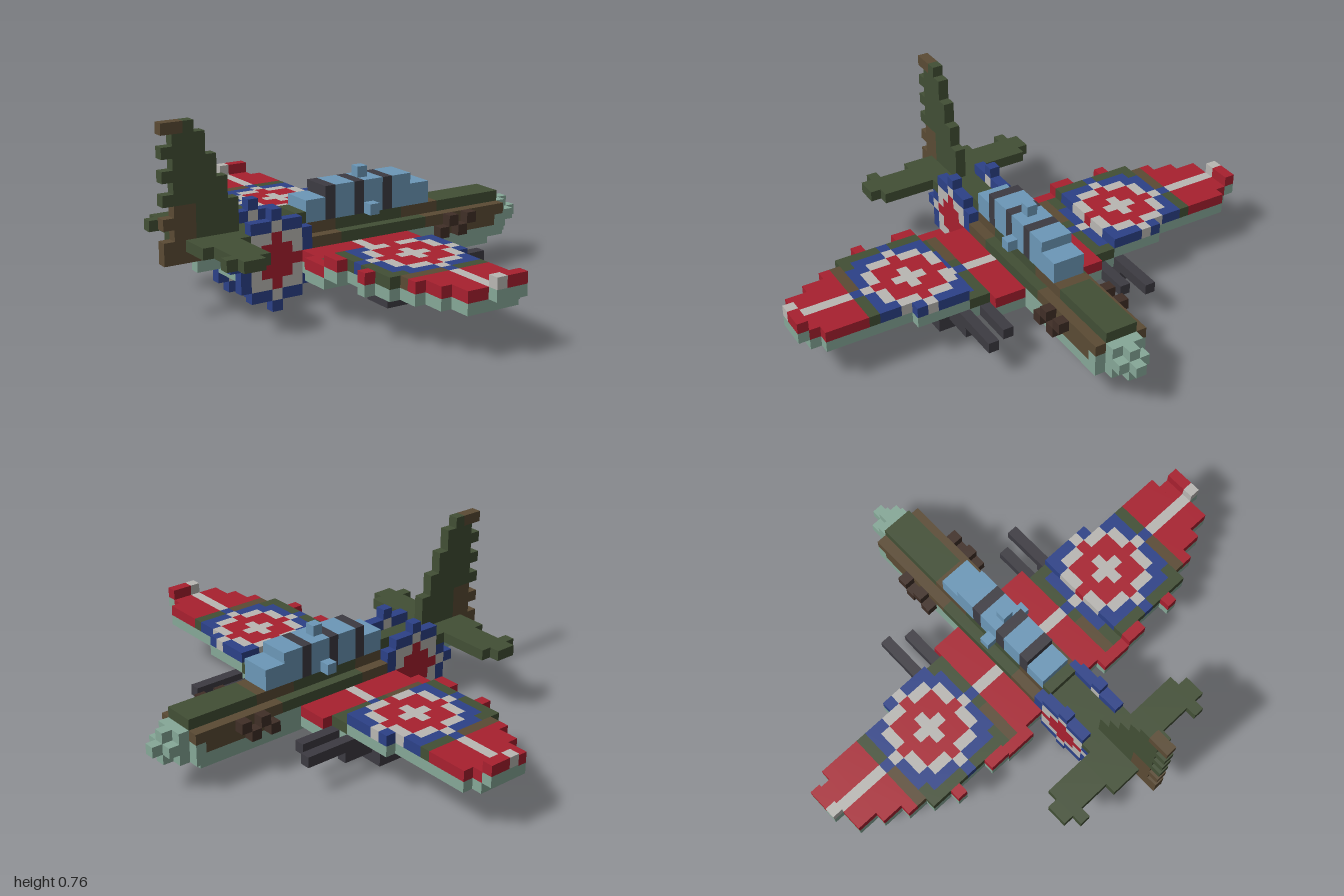
import * as THREE from 'three';
import { mergeGeometries } from 'three/addons/utils/BufferGeometryUtils.js';

const U = 2 / 45; // edge of one block

function makeMaterials() {
  const colors = {
    green: 0x424f35, brown: 0x5b4b34, paleGreen: 0x86a898, blue: 0x2c4188, red: 0xa8202f,
    white: 0xb9b7b3, glass: 0x6c98b8, darkMetal: 0x3d3b42, exhaustBrown: 0x402f27,
  };
  const mats = {};
  for (const name in colors) {
    mats[name] = new THREE.MeshStandardMaterial({ color: colors[name] });
    mats[name].name = name;
  }
  return mats;
}

export function createModel() {
  const model = new THREE.Group();
  model.name = 'blockAeroplane';
  const mats = makeMaterials();
  const parts = {};

  // Box covering whole blocks, first to last inclusive, on each axis
  function box(part, color, x0, x1, y0, y1, z0, z1) {
    const g = new THREE.BoxGeometry((x1 - x0 + 1) * U, (y1 - y0 + 1) * U, (z1 - z0 + 1) * U);
    g.translate((x0 + x1) / 2 * U, (y0 + y1 + 1) / 2 * U, (z0 + z1) / 2 * U);
    parts[part] ??= {};
    (parts[part][color] ??= []).push(g);
  }
  // The same box on both sides
  function pair(part, color, x0, x1, y0, y1, z0, z1) {
    box(part + 'Left', color, x0, x1, y0, y1, z0, z1);
    box(part + 'Right', color, x0, x1, y0, y1, -z1, -z0);
  }
  // Row of blocks along x, joined where the colour stays the same
  function row(x0, x1, colorAt, emit) {
    let start = x0;
    for (let x = x0; x <= x1; x++) {
      const c = colorAt(x);
      if (x === x1 || colorAt(x + 1) !== c) {
        if (c) emit(c, start, x);
        start = x + 1;
      }
    }
  }

  // Fuselage core
  box('fuselage', 'paleGreen', -12, 15, 3, 4, -1, 1);
  box('fuselage', 'paleGreen', -4, 14, 2, 2, -1, 1);
  box('fuselage', 'green', -12, 15, 5, 5, -1, 1);
  row(-12, 15, x => ((x >= -6 && x <= -3) || (x >= 5 && x <= 8) ? 'brown' : 'green'),
    (c, a, b) => box('fuselage', c, a, b, 6, 6, -1, 1));
  box('fuselage', 'green', -6, -6, 7, 7, -1, 1);
  // Fuselage sides
  pair('fuselageSide', 'paleGreen', -4, 15, 3, 3, 2, 2);
  row(-4, 15, x => (x >= 9 && x <= 14 ? 'brown' : 'paleGreen'),
    (c, a, b) => pair('fuselageSide', c, a, b, 4, 4, 2, 2));
  row(-5, 15, x => (x <= -3 || x >= 7 ? 'brown' : 'green'),
    (c, a, b) => pair('fuselageSide', c, a, b, 5, 5, 2, 2));

  // Nose and spinner
  box('nose', 'paleGreen', 16, 17, 4, 4, -1, 1);
  box('nose', 'paleGreen', 16, 17, 3, 3, 0, 0);
  box('nose', 'paleGreen', 16, 17, 5, 5, 0, 0);
  box('nose', 'paleGreen', 16, 16, 3, 3, -1, 1);
  box('nose', 'paleGreen', 16, 16, 5, 5, -1, 1);
  box('spinner', 'paleGreen', 18, 18, 4, 4, 0, 0);

  // Exhaust stubs, staggered
  for (let i = 0; i < 4; i++) pair('exhaust', 'exhaustBrown', 8 + i, 8 + i, 4 + i % 2, 4 + i % 2, 3, 3);

  // Canopy with dark frames, top knob and side blisters
  box('canopy', 'glass', -5, -4, 7, 8, -1, 1);
  box('canopy', 'glass', 6, 7, 7, 8, -1, 1);
  row(-3, 5, x => (x % 3 === 0 ? 'darkMetal' : 'glass'), (c, a, b) => box('canopy', c, a, b, 7, 9, -1, 1));
  box('canopy', 'glass', 1, 1, 10, 10, 0, 0);
  pair('canopyBlister', 'glass', 1, 1, 7, 7, 2, 2);

  // Tail cone
  box('tailCone', 'paleGreen', -15, -13, 4, 4, 0, 0);
  box('tailCone', 'brown', -18, -14, 5, 5, 0, 0);
  box('tailCone', 'green', -13, -13, 5, 5, 0, 0);
  box('tailCone', 'brown', -18, -17, 6, 6, 0, 0);
  box('tailCone', 'green', -16, -13, 6, 6, 0, 0);

  // Fin with a notched trailing edge
  for (let y = 7; y <= 16; y++) {
    const front = y === 16 ? -16 : y >= 14 ? -15 : y >= 12 ? -14 : y >= 10 ? -13 : -12;
    const back = y % 2 === 0 ? -18 : -17;
    row(back, front, x => ((y <= 9 && x <= -16) || (y === 16 && x <= -17) ? 'brown' : 'green'),
      (c, a, b) => box('fin', c, a, b, y, y, 0, 0));
  }

  // Tailplane
  pair('tailplane', 'green', -16, -13, 6, 6, 1, 3);
  pair('tailplane', 'green', -12, -12, 6, 6, 2, 2);
  pair('tailplane', 'green', -15, -13, 6, 6, 4, 6);
  pair('tailplane', 'green', -16, -13, 6, 6, 7, 7);
  pair('tailplane', 'green', -15, -14, 6, 6, 8, 8);

  // Round marking on the fuselage sides, 9 blocks across
  function sideMark(dx, dy) {
    const a = Math.abs(dx), b = Math.abs(dy), hi = Math.max(a, b), lo = Math.min(a, b);
    if (hi === 4) return lo === 0 ? 'blue' : null;
    if (hi === 3) return lo === 0 ? 'white' : lo <= 2 ? 'blue' : null;
    if (hi === 2) return lo === 0 ? 'red' : 'white';
    return 'red';
  }
  for (let dy = -4; dy <= 4; dy++) {
    row(-4, 4, dx => sideMark(dx, dy),
      (c, a, b) => pair('sideMarking', c, a - 9, b - 9, dy + 4, dy + 4, 2, 2));
  }

  // Round marking on the wings, 11 blocks across
  function wingMark(dx, dz) {
    const a = Math.abs(dx), b = Math.abs(dz), hi = Math.max(a, b), lo = Math.min(a, b);
    if (hi === 5) return lo === 0 ? 'blue' : null;
    if (hi === 4) return lo === 0 ? 'white' : lo <= 3 ? 'blue' : null;
    if (hi === 3) return lo === 0 ? 'red' : lo === 3 ? 'blue' : 'white';
    if (hi === 2) return 'red';
    return lo === 0 ? 'white' : 'red';
  }
  function wingColor(x, z) {
    const mark = wingMark(x + 1, z - 11);
    if (mark) return mark;
    if (z >= 16) return x >= -1 && z <= 19 ? 'green' : 'brown';
    return z <= 6 && x <= -3 ? 'brown' : 'green';
  }
  // Wing outline: first row, last row, trailing edge, leading edge
  const outline = [
    [3, 4, -6, 4], [5, 5, -7, 4], [6, 9, -7, 3], [10, 12, -6, 3], [13, 13, -7, 2], [14, 15, -6, 2],
    [16, 17, -5, 2], [18, 19, -4, 2], [20, 20, -3, 2], [21, 21, -3, 1], [22, 22, -1, 1],
  ];
  for (const [z0, z1, x0, x1] of outline) {
    for (let z = z0; z <= z1; z++) {
      const y = z <= 7 ? 3 : z <= 21 ? 4 : 5; // wing rises in steps
      pair('wing', 'paleGreen', x0, x1, y, y, z, z);
      row(x0, x1, x => wingColor(x, z), (c, a, b) => pair('wing', c, a, b, y + 1, y + 1, z, z));
    }
  }

  // Wheel housing, strut and gun barrels under each wing
  pair('wheelHousing', 'darkMetal', -2, 1, 1, 2, 7, 9);
  pair('wheelHousing', 'darkMetal', -2, 1, 3, 3, 8, 9);
  pair('strut', 'darkMetal', 2, 4, 2, 2, 8, 8);
  pair('gunBarrel', 'darkMetal', 2, 8, 3, 3, 8, 8);
  pair('gunBarrel', 'darkMetal', 4, 7, 3, 3, 6, 6);

  // One mesh for each colour of each part
  for (const part in parts) {
    const group = new THREE.Group();
    group.name = part;
    for (const color in parts[part]) {
      const mesh = new THREE.Mesh(mergeGeometries(parts[part][color]), mats[color]);
      mesh.name = part + '_' + color;
      group.add(mesh);
    }
    model.add(group);
  }
  return model;
}
